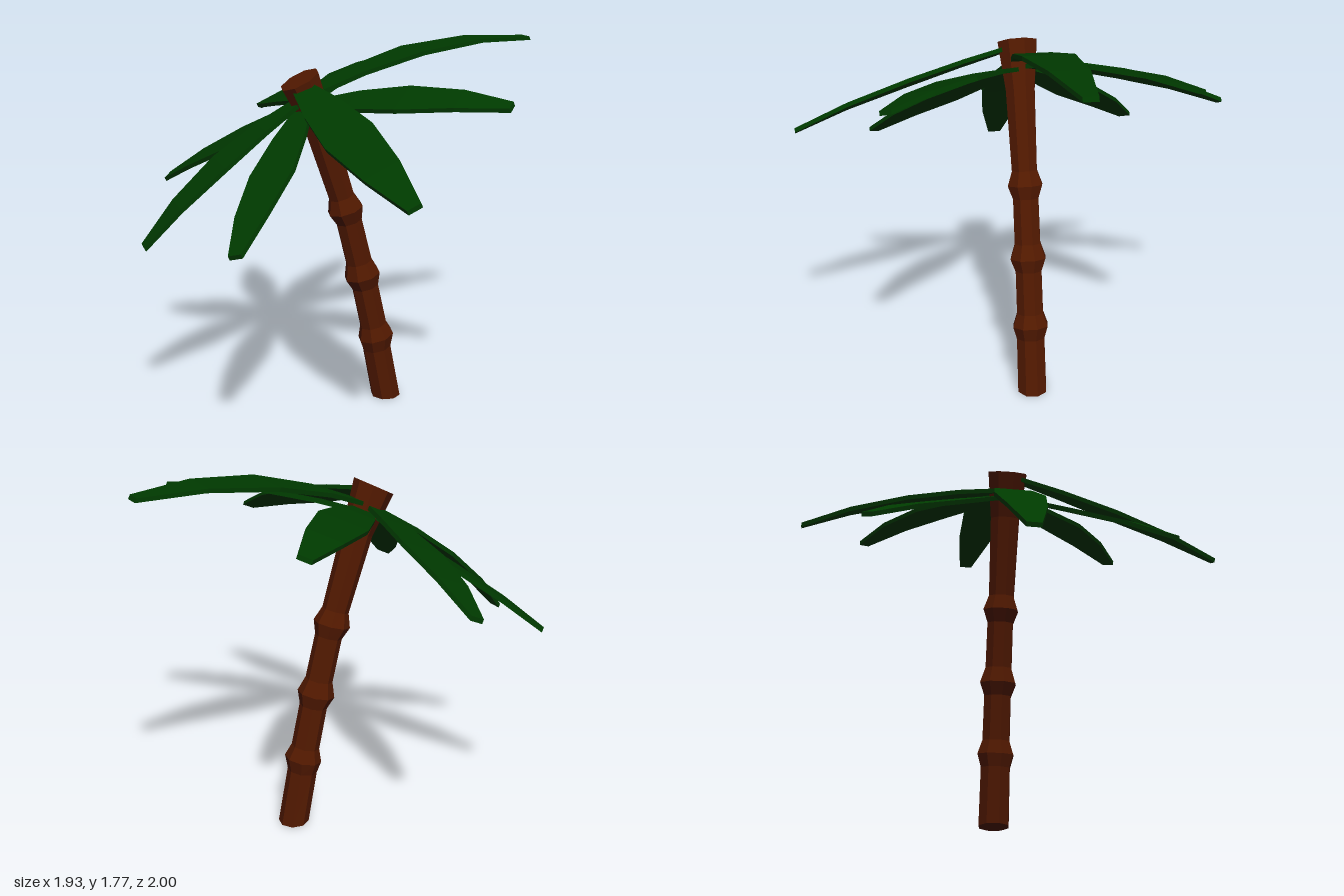
import * as THREE from 'three';

const bark = new THREE.MeshStandardMaterial({ color: 0x521900, flatShading: true });
const green = new THREE.MeshStandardMaterial({ color: 0x003a00, flatShading: true });

// Skins a closed solid over rings of equal point count, counter-clockwise seen from the far end.
function loft(rings) {
  const n = rings[0].length, last = (rings.length - 1) * n, index = [];
  for (let i = 0; i < rings.length - 1; i++) {
    for (let j = 0; j < n; j++) {
      const a = i * n + j, b = i * n + (j + 1) % n;
      index.push(a, b, b + n, a, b + n, a + n);
    }
  }
  for (let j = 1; j < n - 1; j++) {
    index.push(0, j + 1, j, last, last + j, last + j + 1);
  }
  const g = new THREE.BufferGeometry();
  g.setAttribute('position', new THREE.Float32BufferAttribute(rings.flat(2), 3));
  g.setIndex(index);
  const flat = g.toNonIndexed();
  flat.computeVertexNormals();
  return flat;
}

// Leaning eight-sided trunk; each station is x, y, radius, tilt in degrees.
function createTrunk(z) {
  const stations = [
    [0.218, 0, 0.073, 0],
    [0.168, 0.265, 0.071, 11], [0.163, 0.328, 0.089, 13], [0.149, 0.39, 0.067, 13],
    [0.105, 0.595, 0.066, 13], [0.09, 0.655, 0.089, 14], [0.073, 0.725, 0.065, 14],
    [0.022, 0.935, 0.064, 15], [0.004, 0.995, 0.087, 16], [-0.016, 1.06, 0.063, 17],
    [-0.13, 1.42, 0.072, 20], [-0.215, 1.625, 0.097, 27],
  ];
  const rings = stations.map(([x, y, r, deg]) => {
    const t = THREE.MathUtils.degToRad(deg), ring = [];
    for (let j = 0; j < 8; j++) {
      const p = (j + 0.25) * Math.PI / 4, u = r * Math.cos(p);
      ring.push([x + u * Math.cos(t), y + u * Math.sin(t), z - r * Math.sin(p)]);
    }
    return ring;
  });
  const mesh = new THREE.Mesh(loft(rings), bark);
  mesh.name = 'trunk';
  return mesh;
}

// Drooping palm leaf along +x; base, bow and tip raise its root, middle and end.
function createLeaf(length, base, bow, tip) {
  const profile = [ // fraction of length, height, width
    [0.04, -0.015, 0.09], [0.25, -0.032, 0.175], [0.5, -0.078, 0.23],
    [0.77, -0.165, 0.17], [1, -0.275, 0.065],
  ];
  const h = 0.01;
  const rings = profile.map(([f, y0, width]) => {
    const x = f * length, w = width / 2;
    const y = y0 + base * (1 - f) + bow * Math.sin(f * Math.PI) + tip * f;
    return [[x, y + h, w], [x, y - h, w], [x, y - h, -w], [x, y + h, -w]];
  });
  return new THREE.Mesh(loft(rings), green);
}

export function createModel() {
  const model = new THREE.Group();
  model.name = 'palmTree';
  const z = -0.04;
  model.add(createTrunk(z));

  // Crown of eight leaves, tilted with the trunk top
  const crown = new THREE.Group();
  crown.name = 'crown';
  crown.position.set(-0.2, 1.55, z);
  crown.rotation.z = THREE.MathUtils.degToRad(24);
  const leaves = [ // angle, length, base, bow, tip
    [3.6, 1.145, 0, 0.02, -0.02],
    [45, 0.935, -0.03, -0.02, 0.02],
    [90, 0.96, 0, -0.03, 0.025],
    [135, 0.935, -0.03, -0.055, 0.025],
    [180, 0.95, 0, -0.02, 0],
    [225, 0.935, -0.03, -0.055, 0.025],
    [270, 1.04, 0.07, -0.045, 0],
    [315, 0.935, -0.04, -0.03, 0.01],
  ];
  leaves.forEach(([angle, ...shape], i) => {
    const leaf = createLeaf(...shape);
    leaf.name = 'leaf' + (i + 1);
    leaf.rotation.y = THREE.MathUtils.degToRad(angle);
    crown.add(leaf);
  });
  model.add(crown);
  return model;
}
